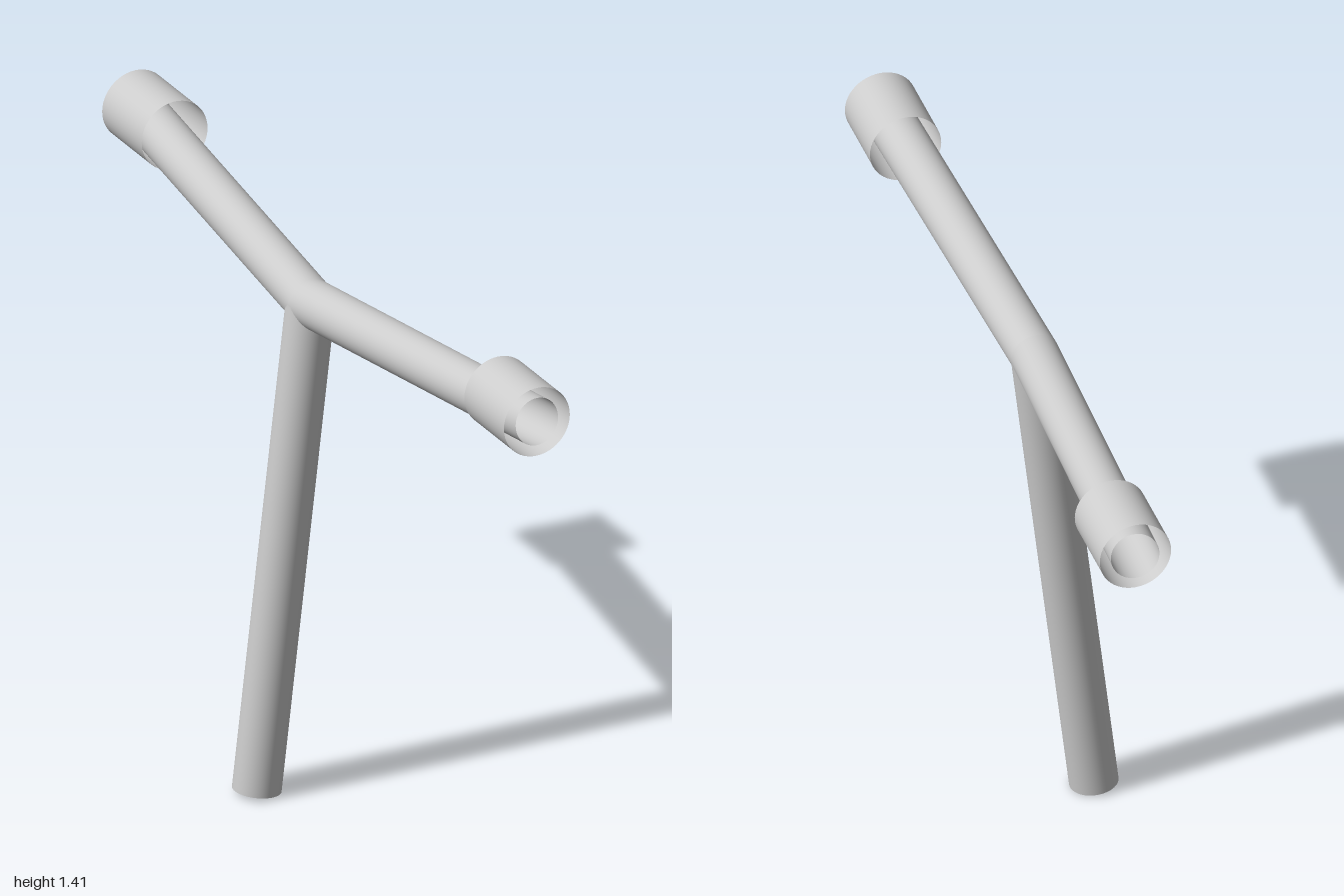
import * as THREE from 'three';

const material = new THREE.MeshStandardMaterial({ color: 0xcccccc, side: THREE.DoubleSide });
const TUBE_RADIUS = 0.0585;
const SEGMENTS = 48;

// Open-ended tube running from one point to another
function tubeBetween(name, from, to, radius) {
  const dir = to.clone().sub(from);
  const length = dir.length();
  dir.normalize();
  const geometry = new THREE.CylinderGeometry(radius, radius, length, SEGMENTS, 1, true);
  geometry.translate(0, length / 2, 0);
  geometry.applyQuaternion(new THREE.Quaternion().setFromUnitVectors(new THREE.Vector3(0, 1, 0), dir));
  geometry.translate(from.x, from.y, from.z);
  const mesh = new THREE.Mesh(geometry, material);
  mesh.name = name;
  return mesh;
}

// Slide the inner rim along the tube until it lies on the z = 0 plane
function mitreAtCentre(mesh, dir) {
  const pos = mesh.geometry.attributes.position;
  for (let i = 0; i < pos.count; i++) {
    if (Math.abs(pos.getZ(i)) > 0.3) continue;
    const t = -pos.getZ(i) / dir.z;
    pos.setXYZ(i, pos.getX(i) + dir.x * t, pos.getY(i) + dir.y * t, 0);
  }
  return mesh;
}

export function createModel() {
  const model = new THREE.Group();
  model.name = 'handlebar';
  const joint = new THREE.Vector3(0.02, 1.236, 0);

  // Leaning stem, open at the foot
  model.add(tubeBetween('stem', new THREE.Vector3(-0.123, 0.01, 0), joint, TUBE_RADIUS));

  // Two mirrored arms with wide, open grip sleeves at their ends
  for (const [side, s] of [['front', 1], ['back', -1]]) {
    const end = new THREE.Vector3(0.088, 1.323, 0.995 * s);
    const dir = end.clone().sub(joint).normalize();
    model.add(mitreAtCentre(tubeBetween(side + 'Arm', joint, end, TUBE_RADIUS), dir));
    model.add(tubeBetween(
      side + 'Grip',
      new THREE.Vector3(0.0875, 1.323, 0.8 * s),
      new THREE.Vector3(0.0875, 1.323, 0.996 * s),
      0.0875
    ));
  }
  return model;
}
